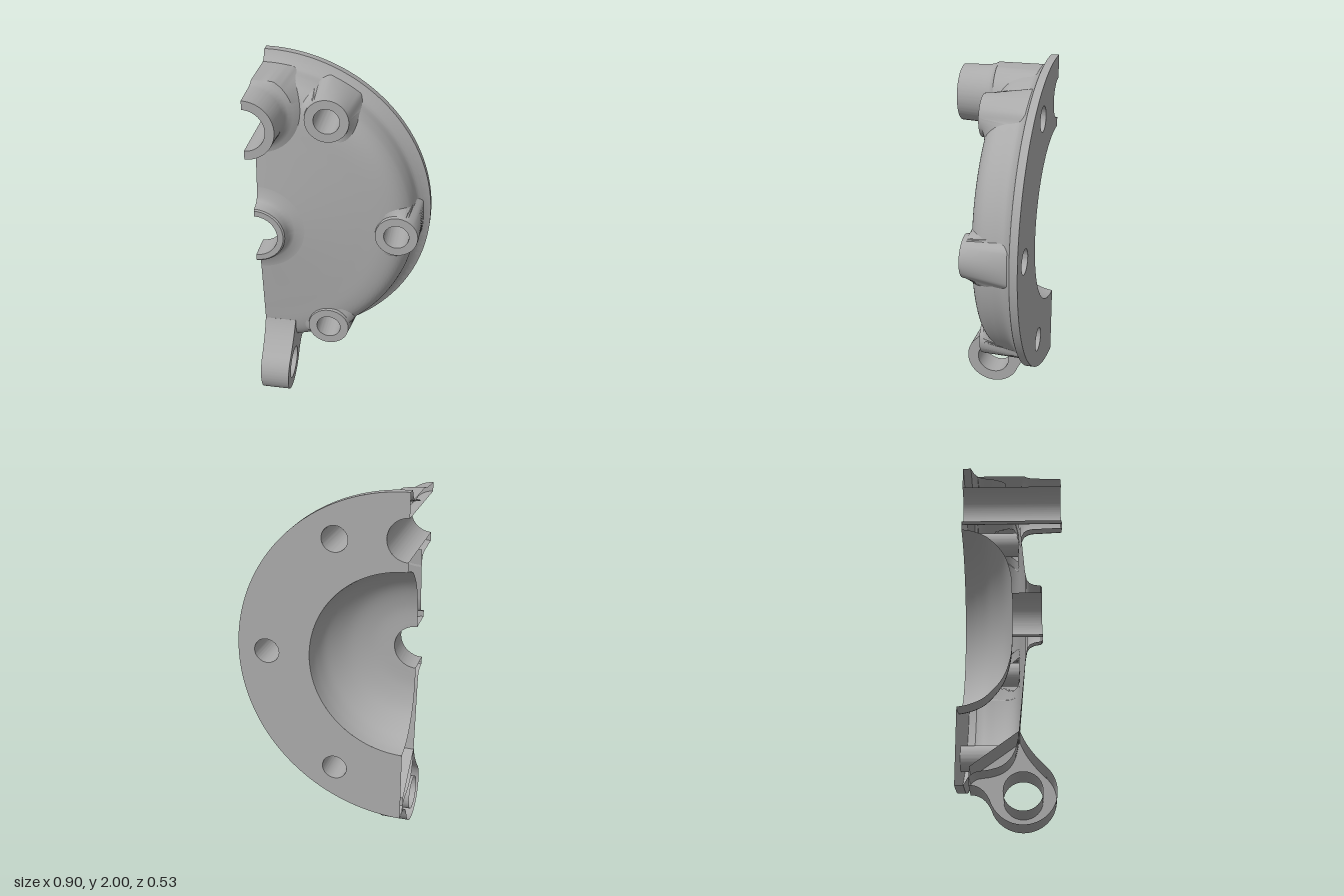
import * as THREE from 'three';
import { toCreasedNormals } from 'three/addons/utils/BufferGeometryUtils.js';

const BACK = -0.267;                 // mating face
const R = 0.905, BOWL = 0.51;        // flange and cavity radii
const v2 = (a) => a.map(([x, y]) => new THREE.Vector2(x, y));

// Domed front skin, from beside the hub to the flange: [radius, z]
const skin = new THREE.SplineCurve(v2([
  [0.25, 0.069], [0.4, 0.056], [0.55, 0.043], [0.68, 0.03], [0.76, 0.005],
  [0.808, -0.04], [0.83, -0.1], [0.842, -0.17], [0.87, -0.205],
])).getPoints(64);

function skinZ(r) {
  for (let i = 1; i < skin.length; i++) {
    const a = skin[i - 1], b = skin[i];
    if (r <= b.x) return THREE.MathUtils.lerp(a.y, b.y, Math.max(0, (r - a.x) / (b.x - a.x)));
  }
  return skin[skin.length - 1].y;
}

// Lathe turned so its axis runs along z; arc = PI gives the +x half only
function lathe(points, arc, segments) {
  return new THREE.LatheGeometry(points, segments, 0, arc).rotateX(Math.PI / 2);
}

// Remove the triangles whose centre passes the test
function dropFaces(geometry, test) {
  const g = geometry.index ? geometry.toNonIndexed() : geometry;
  const p = g.attributes.position, keep = [], c = new THREE.Vector3(), v = new THREE.Vector3();
  for (let i = 0; i < p.count; i += 3) {
    c.set(0, 0, 0);
    for (let k = 0; k < 3; k++) c.add(v.fromBufferAttribute(p, i + k));
    if (!test(c.divideScalar(3))) keep.push(i, i + 1, i + 2);
  }
  g.setIndex(keep);
  return g.toNonIndexed();
}

// Hollow boss whose outermost ring drapes onto the domed skin
function bossGeometry(points, arc, x, y, footRadius, limit) {
  const g = lathe(v2(points), arc, 64), p = g.attributes.position;
  for (let i = 0; i < p.count; i++) {
    const local = Math.hypot(p.getX(i), p.getY(i));
    let px = p.getX(i) + x, py = p.getY(i) + y, pz = p.getZ(i);
    const r = Math.hypot(px, py);
    if (r > limit) { px *= limit / r; py *= limit / r; }
    if (local > footRadius) pz = skinZ(Math.min(r, limit)) - 0.002;
    p.setXYZ(i, px, py, pz);
  }
  return g;
}

export function createModel() {
  const group = new THREE.Group();
  group.name = 'halfCover';
  const metal = new THREE.MeshStandardMaterial({ color: 0xaaaaaa, side: THREE.DoubleSide });
  metal.name = 'grey metal';
  const add = (name, geometry) => {
    const mesh = new THREE.Mesh(toCreasedNormals(geometry, 0.6), metal);
    mesh.name = name;
    mesh.position.set(-0.453, 1.095, 0);
    group.add(mesh);
  };

  const bolts = [-1, 0, 1].map((i) => {
    const a = i * Math.PI / 3;
    return { x: 0.746 * Math.cos(a), y: 0.746 * Math.sin(a) };
  });
  const portY = 0.67;

  // Domed shell and flange edge, opened beneath the bosses
  const shell = lathe([...skin, ...v2([[R, -0.224], [R, BACK]])], Math.PI, 180);
  add('domedShell', dropFaces(shell, (c) =>
    Math.hypot(c.x, c.y - portY) < 0.135 ||
    bolts.some((b) => Math.hypot(c.x - b.x, c.y - b.y) < 0.092)));

  // Flat mating face with bolt holes and the port notch
  const h = Math.PI / 2;
  const face = new THREE.Shape();
  face.moveTo(0, R);
  face.absarc(0, 0, R, h, -h, true);
  face.lineTo(0, -BOWL);
  face.absarc(0, 0, BOWL, -h, h, false);
  face.lineTo(0, portY - 0.11);
  face.absarc(0, portY, 0.11, -h, h, false);
  face.closePath();
  for (const b of bolts) {
    face.holes.push(new THREE.Path().absarc(b.x, b.y, 0.068, 0, Math.PI * 2, true));
  }
  add('matingFace', new THREE.ShapeGeometry(face, 64).translate(0, 0, BACK));

  // Hollow bowl behind the dome
  const bowl = new THREE.SplineCurve(v2([
    [BOWL, BACK], [0.495, -0.2], [0.455, -0.125], [0.36, -0.045], [0.24, -0.005], [0.12, 0.003],
  ])).getPoints(30);
  add('cavityBowl', lathe(bowl, Math.PI, 64));

  // Central hub
  add('centreHub', lathe(v2([
    [0.12, 0.003], [0.12, 0.157], [0.152, 0.157], [0.16, 0.15], [0.166, 0.115],
    [0.177, 0.092], [0.198, 0.078], [0.25, 0.069],
  ]), Math.PI, 64));

  // Long port at the top
  add('upperPort', bossGeometry([
    [0.11, BACK], [0.11, 0.267], [0.157, 0.267], [0.164, 0.11], [0.17, 0.085],
    [0.182, 0.066], [0.205, 0.054], [0.235, 0],
  ], Math.PI, 0, portY, 0.22, 0.85));

  // Three bolt bosses around the rim
  for (const b of bolts) {
    add('boltBoss', bossGeometry([
      [0.068, BACK], [0.068, 0.05], [0.115, 0.05], [0.118, 0.03], [0.15, 0],
    ], Math.PI * 2, b.x, b.y, 0.13, 0.868));
  }

  // Hinge lug below, open on the symmetry plane like the rest
  const lug = new THREE.Shape();
  lug.moveTo(-0.04, 0.46);
  lug.quadraticCurveTo(-0.07, 0.37, -0.168, 0.273);
  lug.absarc(-0.055, 0.16, 0.16, Math.PI * 0.75, Math.PI * 1.89, false);
  lug.quadraticCurveTo(0.13, 0.19, 0.2, 0.19);
  lug.lineTo(0.2, 0.28);
  lug.closePath();
  lug.holes.push(new THREE.Path().absarc(-0.055, 0.16, 0.095, 0, Math.PI * 2, true));
  const lugGeometry = new THREE.ExtrudeGeometry(lug, { depth: 0.16, bevelEnabled: false, curveSegments: 40 })
    .rotateY(Math.PI / 2).translate(0, -1.095, 0);
  const p = lugGeometry.attributes.position;
  for (let i = 0; i < p.count; i++) {
    // Slight draft: the lug widens toward the shell
    if (p.getX(i) > 0.1) p.setX(i, 0.155 + 0.05 * (p.getY(i) + 1.095));
  }
  add('hingeLug', dropFaces(lugGeometry, (c) => c.x < 0.001));

  return group;
}
